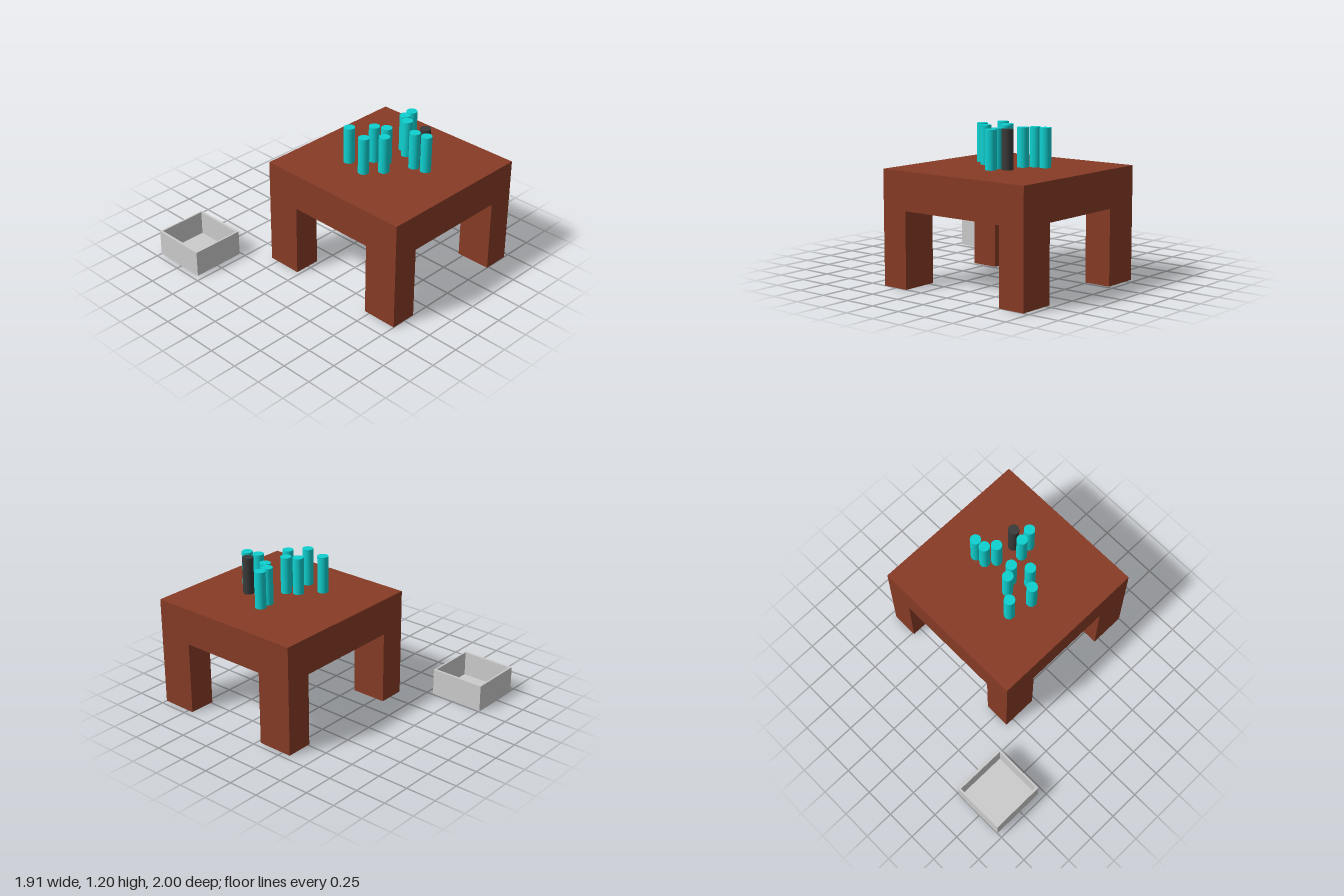
import * as THREE from 'three';

const material = (color) => new THREE.MeshStandardMaterial({ color });

// Box given by its minimum and maximum corners
function addBox(parent, name, [x0, y0, z0], [x1, y1, z1], mat) {
  const mesh = new THREE.Mesh(new THREE.BoxGeometry(x1 - x0, y1 - y0, z1 - z0), mat);
  mesh.position.set((x0 + x1) / 2, (y0 + y1) / 2, (z0 + z1) / 2);
  mesh.name = name;
  parent.add(mesh);
}

// Thick square top on four corner legs
function createTable() {
  const table = new THREE.Group();
  table.name = 'table';
  const wood = material(0x863b25);
  const [x0, x1, z0, z1] = [-0.368, 0.953, -0.322, 1];
  const underside = 0.589, legX = 0.218, legZ = 0.293;
  addBox(table, 'tableTop', [x0, underside, z0], [x1, 0.884, z1], wood);
  for (const x of [x0, x1 - legX]) {
    for (const z of [z0, z1 - legZ]) {
      addBox(table, 'tableLeg', [x, 0, z], [x + legX, underside, z + legZ], wood);
    }
  }
  return table;
}

// Upright rods hovering just above the table top, one of them dark
function createRods() {
  const rods = new THREE.Group();
  rods.name = 'rods';
  const geometry = new THREE.CylinderGeometry(0.043, 0.043, 0.296, 32);
  const teal = material(0x0fd0d0);
  const dark = material(0x3a3a3a);
  const add = (name, x, z, mat) => {
    const rod = new THREE.Mesh(geometry, mat);
    rod.position.set(x, 1.047, z);
    rod.name = name;
    rods.add(rod);
  };
  const spots = [
    [0.057, 0.122], [0.012, 0.315], [0.202, 0.246], [0.249, 0.33], [0.131, 0.415],
    [0.5, 0.291], [0.588, 0.283], [0.443, 0.365], [0.34, 0.534], [0.36, 0.633],
  ];
  for (const [x, z] of spots) add('tealRod', x, z, teal);
  add('darkRod', 0.444, 0.547, dark);
  return rods;
}

// Open tray on the ground: floor and four walls
function createTray() {
  const tray = new THREE.Group();
  tray.name = 'tray';
  const grey = material(0xcccccc);
  const [x0, x1, z0, z1] = [-0.954, -0.515, -1, -0.549];
  const height = 0.215, floor = 0.015, wallX = 0.02, wallZ = 0.014;
  addBox(tray, 'trayFloor', [x0, 0, z0], [x1, floor, z1], grey);
  for (const x of [x0, x1 - wallX]) {
    addBox(tray, 'traySideWall', [x, floor, z0], [x + wallX, height, z1], grey);
  }
  for (const z of [z0, z1 - wallZ]) {
    addBox(tray, 'trayEndWall', [x0 + wallX, floor, z], [x1 - wallX, height, z + wallZ], grey);
  }
  return tray;
}

export function createModel() {
  const model = new THREE.Group();
  model.name = 'tableWithRodsAndTray';
  model.add(createTable(), createRods(), createTray());
  return model;
}
